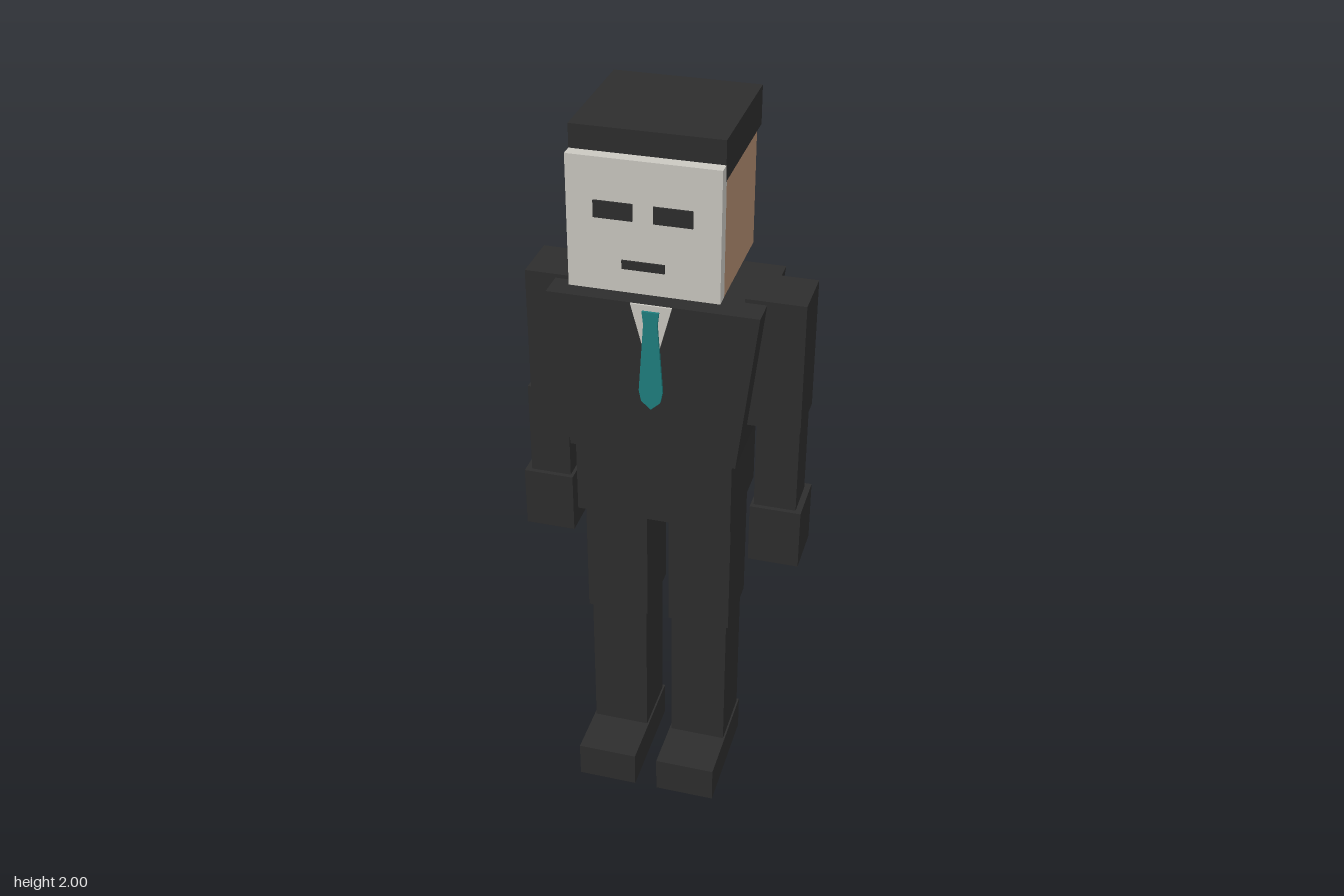
import * as THREE from 'three';

const material = (name, color) => {
  const m = new THREE.MeshStandardMaterial({ color });
  m.name = name;
  return m;
};

export function createModel() {
  const model = new THREE.Group();
  const suit = material('charcoal', 0x2d2d2d);
  const skin = material('skin', 0xb28c70);
  const white = material('off white', 0xcac8c1);
  const teal = material('teal', 0x1f7f7f);

  const add = (name, geometry, mat) => {
    const mesh = new THREE.Mesh(geometry, mat);
    mesh.name = name;
    model.add(mesh);
    return mesh;
  };
  // Box given by its extents on each axis
  const box = (name, mat, [x0, x1], [y0, y1], [z0, z1]) =>
    add(name, new THREE.BoxGeometry(x1 - x0, y1 - y0, z1 - z0), mat)
      .position.set((x0 + x1) / 2, (y0 + y1) / 2, (z0 + z1) / 2);
  // Outline in x and y, extruded from z0 to z1
  const slab = (name, mat, points, z0, z1) => {
    const shape = new THREE.Shape(points.map(([x, y]) => new THREE.Vector2(x, y)));
    const geometry = new THREE.ExtrudeGeometry(shape, { depth: z1 - z0, bevelEnabled: false });
    add(name, geometry, mat).position.z = z0;
  };

  // Head with cap of hair and face mask
  box('head', skin, [-0.18, 0.18], [1.585, 1.91], [-0.193, 0.147]);
  box('hair', suit, [-0.188, 0.188], [1.9, 2], [-0.205, 0.153]);
  box('mask', white, [-0.188, 0.188], [1.602, 1.94], [0.147, 0.185]);
  box('mouth', suit, [-0.053, 0.053], [1.665, 1.687], [0.183, 0.19]);
  for (const s of [-1, 1]) {
    const x = s * 0.073;
    box(s > 0 ? 'leftEye' : 'rightEye', suit, [x - 0.048, x + 0.048], [1.79, 1.833], [0.183, 0.19]);
  }
  box('neck', skin, [-0.063, 0.063], [1.5, 1.6], [-0.087, 0.04]);

  // Jacket tapers towards the waist
  slab('chest', suit, [[-0.221, 1.1], [0.221, 1.1], [0.272, 1.54], [-0.272, 1.54]], -0.173, 0.121);
  box('waist', suit, [-0.21, 0.21], [0.89, 1.1], [-0.16, 0.112]);
  slab('shirtFront', white, [[0, 1.34], [0.053, 1.54], [-0.053, 1.54]], 0.12, 0.126);
  slab('tie', teal, [[0, 1.247], [0.025, 1.27], [0.031, 1.3], [0.018, 1.49],
    [0.022, 1.525], [-0.022, 1.525], [-0.018, 1.49], [-0.031, 1.3], [-0.025, 1.27]], 0.124, 0.132);

  // Arms, slightly uneven from side to side
  box('rightUpperArm', suit, [-0.353, -0.237], [1.19, 1.55], [-0.1, 0.046]);
  box('leftUpperArm', suit, [0.216, 0.371], [1.19, 1.55], [-0.1, 0.046]);
  box('rightForearm', suit, [-0.367, -0.256], [0.93, 1.2], [-0.08, 0.033]);
  box('leftForearm', suit, [0.254, 0.367], [0.93, 1.2], [-0.08, 0.033]);
  box('rightHand', suit, [-0.384, -0.247], [0.765, 0.937], [-0.1, 0.046]);
  box('leftHand', suit, [0.246, 0.383], [0.765, 0.937], [-0.1, 0.046]);

  // Legs and shoes
  for (const s of [-1, 1]) {
    const side = s > 0 ? 'left' : 'right';
    const span = (a, b) => (s > 0 ? [a, b] : [-b, -a]);
    box(side + 'Thigh', suit, span(0.03, 0.202), [0.53, 0.89], [-0.118, 0.07]);
    box(side + 'Shin', suit, span(0.037, 0.194), [0.1, 0.53], [-0.108, 0.06]);
    box(side + 'Shoe', suit, span(0.032, 0.199), [0, 0.105], [-0.118, 0.204]);
  }
  return model;
}
